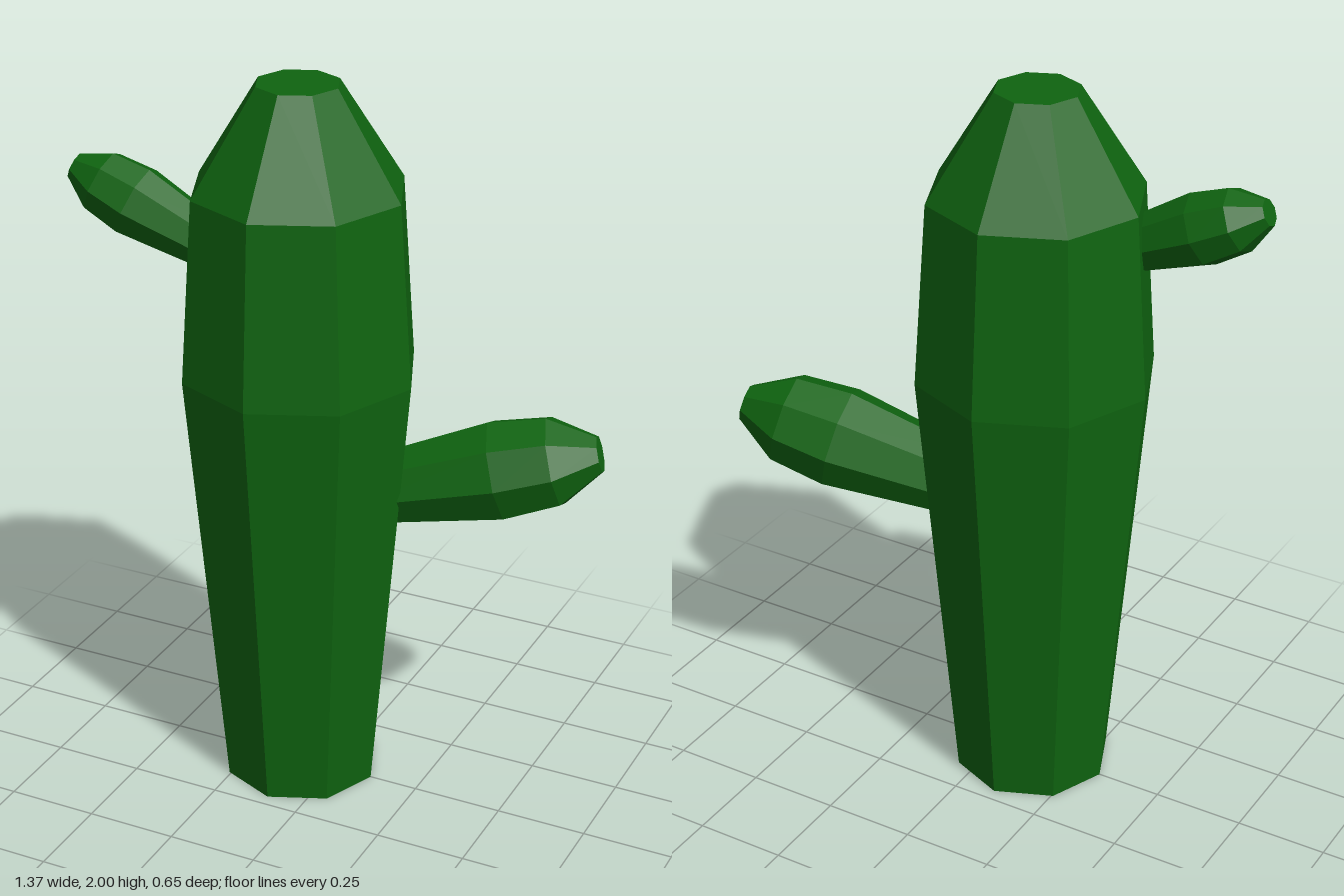
import * as THREE from 'three';

const green = new THREE.MeshStandardMaterial({ color: 0x0f6410, flatShading: true });

// Eight-sided closed stem from [radius, height] rings, bottom to top
function stem(name, rings) {
  const points = [[0, rings[0][1]], ...rings, [0, rings.at(-1)[1]]];
  const profile = points.map(([r, y]) => new THREE.Vector2(r, y));
  const mesh = new THREE.Mesh(new THREE.LatheGeometry(profile, 8), green);
  mesh.name = name;
  return mesh;
}

// Stem whose axis runs from a base point along a direction
function arm(name, rings, base, direction) {
  const mesh = stem(name, rings);
  const d = new THREE.Vector3(...direction).normalize();
  mesh.position.set(...base);
  mesh.rotation.set(0, Math.atan2(-d.z, d.x), -Math.acos(d.y), 'YZX');
  return mesh;
}

export function createModel() {
  const cactus = new THREE.Group();
  cactus.name = 'cactus';

  // Trunk: widens upward, then closes to a small flat top
  const trunk = stem('trunk', [[0.215, 0], [0.322, 1.22], [0.288, 1.72], [0.112, 2]]);
  trunk.position.x = -0.103;

  // Arms: their bases are buried in the trunk
  const leftArm = arm('leftArm',
    [[0.094, 0], [0.14, 0.37], [0.125, 0.525], [0.05, 0.645]],
    [0.06, 0.862, -0.066], [1, 0.27, -0.28]);
  const rightArm = arm('rightArm',
    [[0.065, 0], [0.098, 0.25], [0.086, 0.355], [0.036, 0.437]],
    [-0.277, 1.562, 0.112], [-1, 0.45, 0.09]);

  cactus.add(trunk, leftArm, rightArm);
  return cactus;
}
